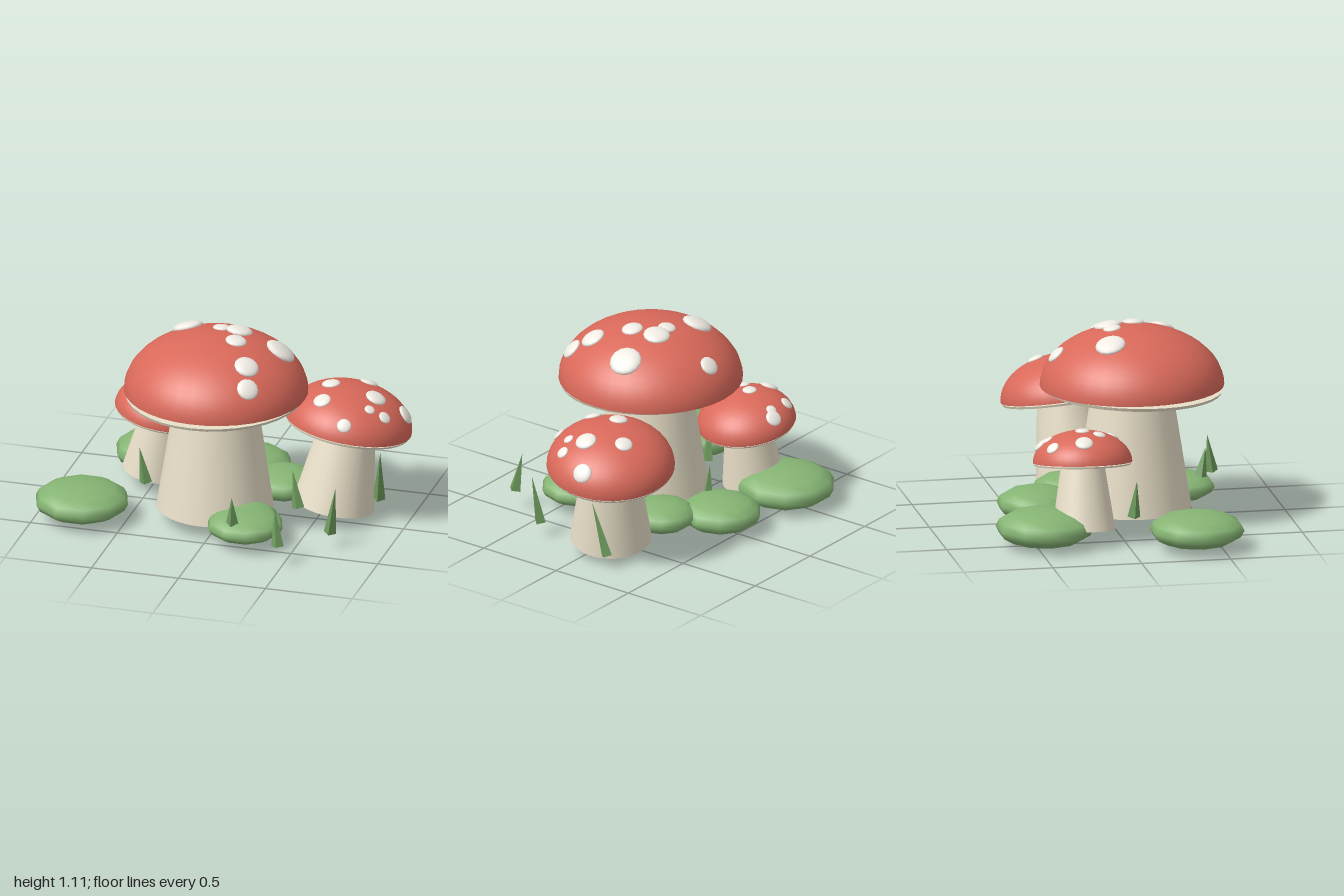
import * as THREE from 'three';

const mat = (color, extra = {}) => new THREE.MeshStandardMaterial({ color, ...extra });
const UP = new THREE.Vector3(0, 1, 0);
const v = (a) => new THREE.Vector3(...a);

function add(parent, name, geometry, material) {
  const mesh = new THREE.Mesh(geometry, material);
  mesh.name = name;
  parent.add(mesh);
  return mesh;
}

export function createModel() {
  const model = new THREE.Group();
  model.name = 'mushroomCluster';

  const capMat = mat(0xd9695a, { side: THREE.DoubleSide });
  const stemMat = mat(0xe8dfc8);
  const spotMat = mat(0xf0ece4);
  const bushMat = mat(0x86b574);
  const grassMat = mat(0x6f9c5e, { flatShading: true });

  const domeGeo = new THREE.SphereGeometry(1, 36, 14, 0, Math.PI * 2, 0, Math.PI / 2);
  const spotGeo = new THREE.SphereGeometry(1, 14, 10);
  const bushGeo = new THREE.SphereGeometry(1, 10, 8);

  // Mushroom: base and rim are the axis ends, spots are [x, z, radius] dropped onto the cap
  function mushroom(name, base, rim, R, gillTilt, spots) {
    const g = new THREE.Group();
    g.name = name;
    model.add(g);
    const a = v(base), b = v(rim);
    const axis = b.clone().sub(a);
    const tilt = new THREE.Quaternion().setFromUnitVectors(UP, axis.clone().normalize());

    const stem = add(g, 'stem', new THREE.CylinderGeometry(R * 0.43, R * 0.635, axis.length(), 32), stemMat);
    stem.position.copy(a).add(b).multiplyScalar(0.5);
    stem.quaternion.copy(tilt);

    const cap = add(g, 'cap', domeGeo, capMat);
    cap.position.copy(b);
    cap.quaternion.copy(tilt);
    cap.scale.set(R, R * 0.65, R);
    cap.updateMatrix();

    // Thin disc closing the underside of the cap
    const gills = add(g, 'gills', new THREE.CylinderGeometry(R * 0.985, R * 0.97, R * 0.035, 36), stemMat);
    gills.quaternion.copy(tilt).multiply(new THREE.Quaternion().setFromEuler(new THREE.Euler(...gillTilt)));
    gills.position.copy(UP).applyQuaternion(tilt).multiplyScalar(-R * 0.035).add(b);

    // Spots lie flat on the dome, found by a vertical ray in the dome's own space
    const inverse = cap.matrix.clone().invert();
    const unit = new THREE.Sphere(new THREE.Vector3(), 1);
    for (const [x, z, r] of spots) {
      const ray = new THREE.Ray(new THREE.Vector3(x, 3, z), new THREE.Vector3(0, -1, 0)).applyMatrix4(inverse);
      ray.direction.normalize();
      const hit = ray.intersectSphere(unit, new THREE.Vector3());
      if (!hit) continue;
      const normal = hit.clone().divide(cap.scale).normalize().applyQuaternion(tilt);
      const spot = add(g, 'spot', spotGeo, spotMat);
      spot.position.copy(hit).applyMatrix4(cap.matrix);
      spot.quaternion.setFromUnitVectors(UP, normal);
      spot.scale.set(r, r * 0.35, r);
    }
  }

  mushroom('largeMushroom', [-0.045, 0.08, 0.135], [-0.04, 0.772, 0.132], 0.51, [0.035, 0, 0.015], [
    [-0.016, -0.29, 0.055], [-0.25, -0.03, 0.085], [-0.04, 0.02, 0.05], [0.06, 0.015, 0.075],
    [0.305, 0.045, 0.09], [0.085, 0.165, 0.06], [0.2, 0.35, 0.07], [0.24, 0.465, 0.062],
  ]);
  mushroom('mediumMushroom', [0.58, 0.08, -0.06], [0.65, 0.55, -0.113], 0.355, [0, 0, 0], [
    [0.725, -0.26, 0.05], [0.555, -0.095, 0.052], [0.82, -0.07, 0.06], [0.965, -0.155, 0.055],
    [0.9, 0.03, 0.036], [0.82, 0.05, 0.03], [0.555, 0.08, 0.05], [0.715, 0.195, 0.04],
  ]);
  mushroom('smallMushroom', [-0.505, 0.08, -0.23], [-0.445, 0.45, -0.225], 0.275, [0, 0, 0], [
    [-0.56, -0.415, 0.038], [-0.395, -0.45, 0.046], [-0.42, -0.415, 0.03], [-0.62, -0.25, 0.05],
    [-0.465, -0.23, 0.04], [-0.52, -0.145, 0.036], [-0.36, -0.04, 0.042],
  ]);

  // Bushes: flattened ten-sided spheres [x, y, z, radius, half height]
  for (const [x, y, z, r, h] of [
    [-0.745, 0.115, 0.36, 0.265, 0.098],
    [-0.51, 0.108, -0.45, 0.275, 0.105],
    [0.01, 0.11, -0.39, 0.228, 0.095],
    [0.26, 0.125, -0.17, 0.195, 0.085],
    [0.215, 0.115, 0.43, 0.215, 0.08],
    [0.2, 0.12, 0.35, 0.18, 0.075],
  ]) {
    const bush = add(model, 'bush', bushGeo, bushMat);
    bush.position.set(x, y, z);
    bush.scale.set(r, h, r);
  }

  // Grass blades: four-sided cones from base to tip
  for (const [base, tip] of [
    [[0.68, 0.09, 0.35], [0.72, 0.37, 0.38]],
    [[0.475, 0.12, 0.68], [0.45, 0.335, 0.65]],
    [[0.44, 0.13, 0.16], [0.4, 0.335, 0.13]],
    [[0.8, 0.08, -0.2], [0.83, 0.39, -0.12]],
    [[0.18, 0.17, 0.56], [0.185, 0.335, 0.59]],
    [[-0.465, 0.13, 0.06], [-0.5, 0.34, 0.07]],
    [[-0.06, 0.12, -0.25], [-0.05, 0.34, -0.27]],
  ]) {
    const a = v(base), b = v(tip), d = b.clone().sub(a);
    const blade = add(model, 'grassBlade', new THREE.ConeGeometry(0.036, d.length(), 4), grassMat);
    blade.position.copy(a).add(b).multiplyScalar(0.5);
    blade.quaternion.setFromUnitVectors(UP, d.normalize());
  }

  return model;
}
